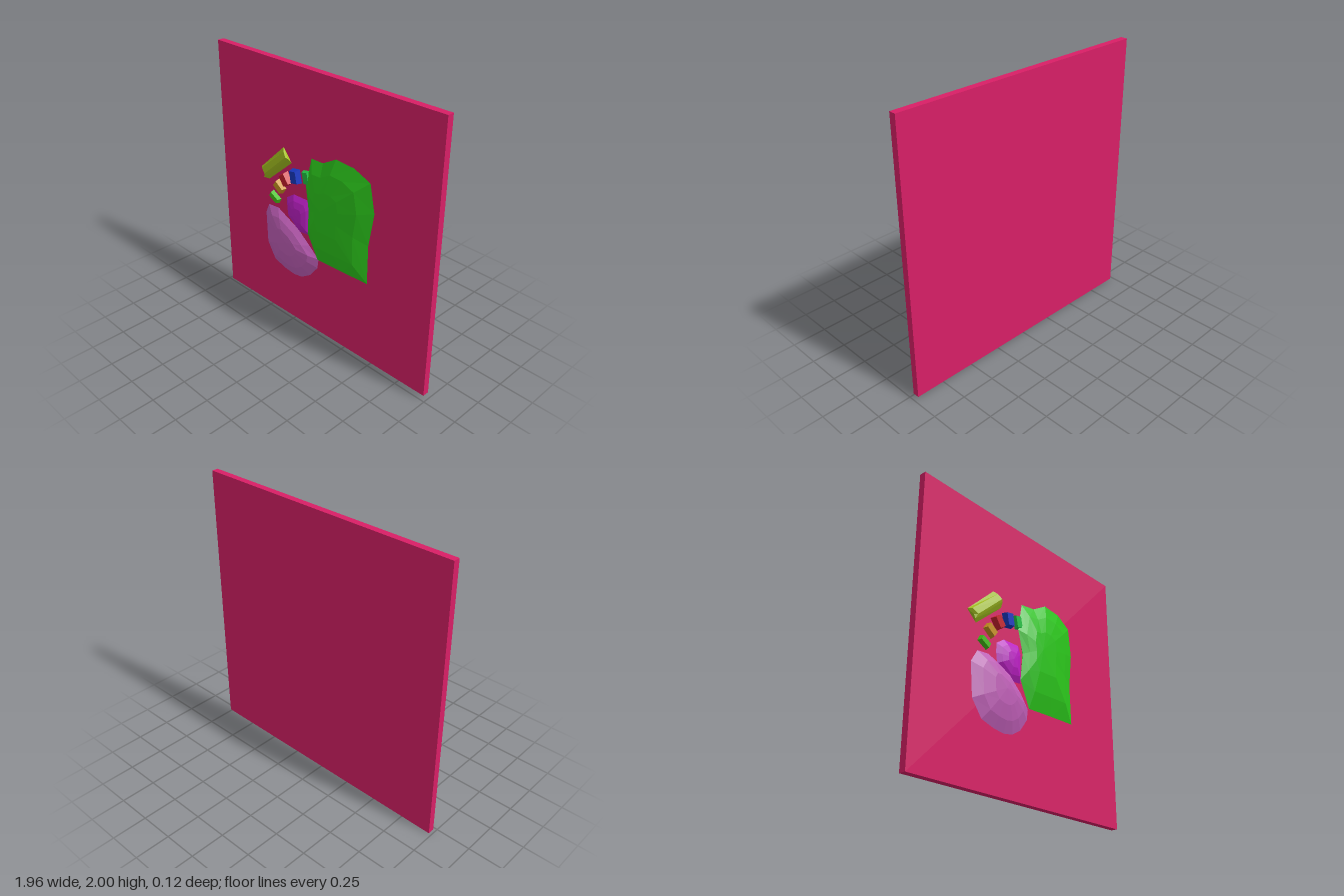
import * as THREE from 'three';

const BACK = -0.017; // front plane of the backing panel

function material(color) {
  return new THREE.MeshStandardMaterial({ color, flatShading: true, side: THREE.DoubleSide });
}

// Joins closed rings of [x, y, z] into a faceted skin, capped at the last ring.
function skin(name, rings, color) {
  const tris = [];
  const n = rings[0].length;
  for (let r = 0; r + 1 < rings.length; r++) {
    for (let i = 0; i < n; i++) {
      const j = (i + 1) % n;
      const [a, b, c, d] = [rings[r][i], rings[r][j], rings[r + 1][j], rings[r + 1][i]];
      tris.push(...a, ...b, ...c, ...a, ...c, ...d);
    }
  }
  const geo = new THREE.BufferGeometry();
  geo.setAttribute('position', new THREE.Float32BufferAttribute(tris, 3));
  geo.computeVertexNormals();
  const mesh = new THREE.Mesh(geo, material(color));
  mesh.name = name;
  return mesh;
}

// Low faceted mound: clockwise outline [x, y, rimZ] rising to a peak [x, y, z].
function mound(name, outline, peak, color) {
  const rim = [...outline].reverse();
  const ring = (scale, rise) => rim.map(([x, y, z]) => [
    peak[0] + (x - peak[0]) * scale,
    peak[1] + (y - peak[1]) * scale,
    z + (peak[2] - z) * rise,
  ]);
  const foot = ring(0.82, 0).map(([x, y]) => [x, y, BACK]);
  return skin(name, [foot, rim, ring(0.72, 0.55), ring(0.38, 0.9), ring(0, 1)], color);
}

// Small block with a slightly narrowed front face.
function block(name, x, y, w, h, angle, front, color) {
  const depth = front - BACK;
  const geo = new THREE.BoxGeometry(w, h, depth);
  const p = geo.attributes.position;
  for (let i = 0; i < p.count; i++) {
    if (p.getZ(i) > 0) p.setXY(i, p.getX(i) * 0.82, p.getY(i) * 0.86);
  }
  geo.computeVertexNormals();
  const mesh = new THREE.Mesh(geo, material(color));
  mesh.name = name;
  mesh.position.set(x, y, BACK + depth / 2);
  mesh.rotation.z = angle;
  return mesh;
}

export function createModel() {
  const model = new THREE.Group();
  model.name = 'reliefPanel';

  // Slightly skewed backing panel
  const shape = new THREE.Shape([[-0.98, 0], [0.98, 0.03], [0.98, 2], [-0.98, 1.97]]
    .map(([x, y]) => new THREE.Vector2(x, y)));
  const panelGeo = new THREE.ExtrudeGeometry(shape, { depth: 0.048, bevelEnabled: false });
  panelGeo.translate(0, 0, -0.065);
  const panel = new THREE.Mesh(panelGeo, material(0xd81f66));
  panel.name = 'backingPanel';
  model.add(panel);

  // Large green mound
  model.add(mound('greenMound', [
    [-0.055, 1.39, -0.01], [0.06, 1.4, 0], [0.18, 1.47, 0.005], [0.33, 1.46, 0],
    [0.46, 1.4, -0.01], [0.495, 1.195, -0.017], [0.46, 0.95, -0.01], [0.465, 0.665, -0.005],
    [0.24, 0.655, 0], [0.01, 0.645, 0], [-0.08, 0.82, 0.005], [-0.065, 1.01, 0.01], [-0.1, 1.18, 0],
  ], [0.09, 1.08, 0.06], 0x2cc81c));

  // Mauve mound
  model.add(mound('mauveMound', [
    [-0.48, 0.89, 0], [-0.38, 0.9, 0], [-0.28, 0.86, 0.005], [-0.18, 0.815, 0.005],
    [-0.07, 0.725, 0], [0.01, 0.64, -0.01], [0, 0.565, -0.01], [-0.07, 0.475, -0.005],
    [-0.15, 0.425, 0], [-0.23, 0.41, 0], [-0.32, 0.42, 0], [-0.43, 0.45, 0],
    [-0.51, 0.565, -0.005], [-0.525, 0.805, -0.01],
  ], [-0.26, 0.69, 0.055], 0xc260ba));

  // Small magenta mound between the two
  model.add(mound('magentaMound', [
    [-0.3, 1.01, -0.01], [-0.23, 1.06, -0.01], [-0.09, 1.065, -0.01], [-0.065, 1.01, -0.01],
    [-0.065, 0.8, -0.01], [-0.18, 0.785, -0.01], [-0.29, 0.87, -0.01], [-0.3, 0.94, -0.01],
  ], [-0.17, 0.93, 0.03], 0xbe20c6));

  // Ridged yellow bar, lofted between its two end sections
  const low = [[-0.565, 1.155, BACK], [-0.54, 1.16, 0.005], [-0.5, 1.13, 0.018],
    [-0.515, 1.095, 0.008], [-0.485, 1.085, BACK]];
  const high = [[-0.33, 1.38, BACK], [-0.31, 1.36, 0.005], [-0.28, 1.33, 0.018],
    [-0.265, 1.32, 0.008], [-0.255, 1.285, BACK]];
  const collapse = (ring, z) => ring.map(() => [
    ring.reduce((s, p) => s + p[0], 0) / ring.length,
    ring.reduce((s, p) => s + p[1], 0) / ring.length, z]);
  model.add(skin('yellowBar', [collapse(low, 0), low, high, collapse(high, 0)], 0xa4c020));

  // Arc of small blocks
  const arc = [
    ['greenBlock', -0.098, 1.235, 0.06, 0.095, 0.23, 0.01, 0x22c244],
    ['blueBlock', -0.2, 1.21, 0.07, 0.1, 0.2, 0.026, 0x1838c0],
    ['redBlock', -0.297, 1.155, 0.068, 0.092, 0.63, 0.026, 0xc8202c],
    ['orangeBlock', -0.365, 1.072, 0.06, 0.09, 0.95, 0.02, 0xc89220],
    ['limeBlock', -0.417, 0.97, 0.046, 0.09, 1.08, 0.015, 0x46c016],
  ];
  for (const spec of arc) model.add(block(...spec));

  return model;
}
